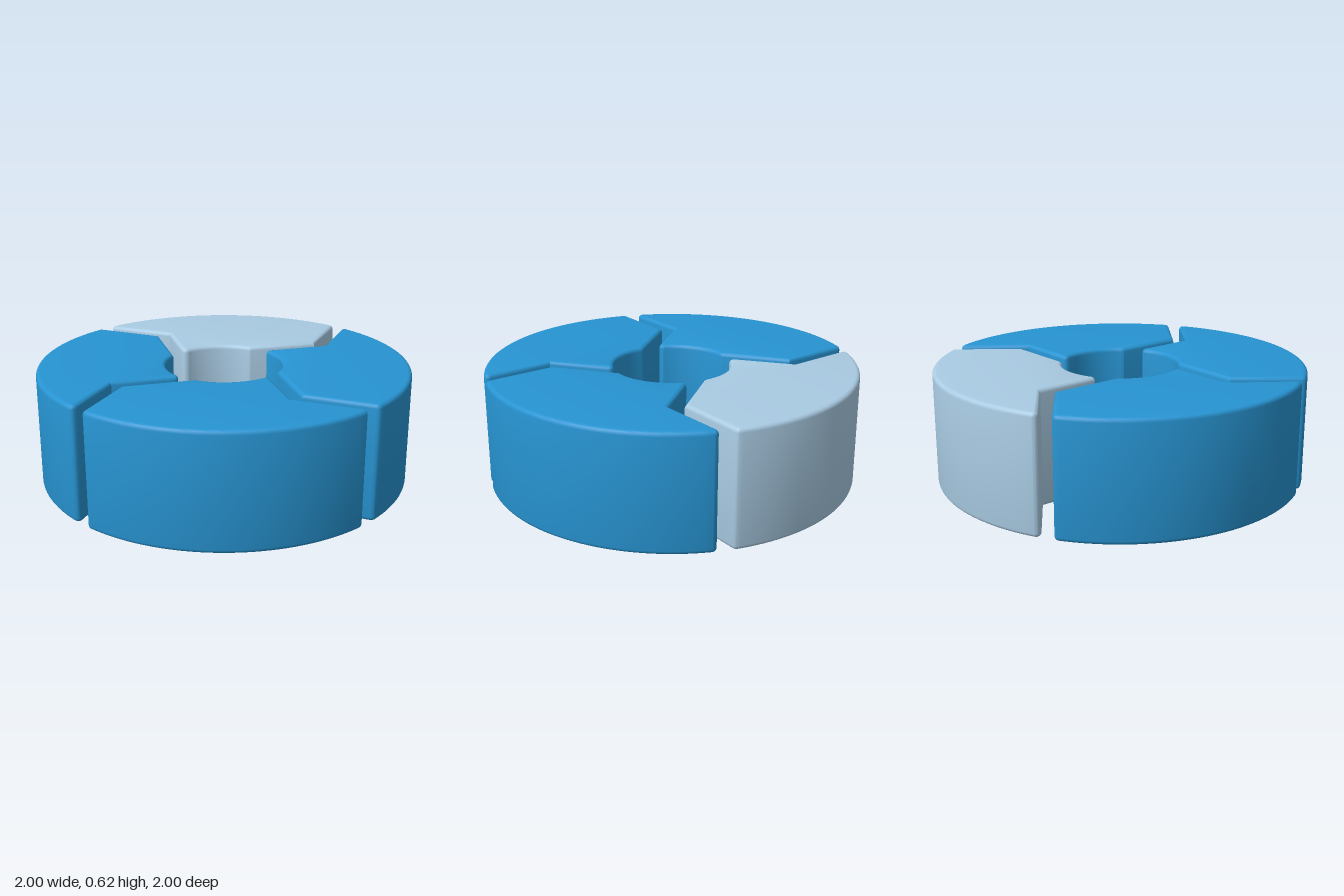
import * as THREE from 'three';
import { toCreasedNormals } from 'three/addons/utils/BufferGeometryUtils.js';

const HEIGHT = 0.62, OUTER = 1, INNER = 0.315, BEVEL = 0.022, FILLET = 0.025;
const V = (x, y) => new THREE.Vector2(x, y);

// Points of a circular fillet at corner p, between neighbours a and b
function fillet(a, p, b, r = FILLET, steps = 6) {
  const u = a.clone().sub(p).normalize(), v = b.clone().sub(p).normalize();
  const half = Math.acos(u.dot(v)) / 2;
  const centre = u.clone().add(v).normalize().multiplyScalar(r / Math.sin(half)).add(p);
  const start = u.multiplyScalar(r / Math.tan(half)).add(p).sub(centre);
  const end = v.multiplyScalar(r / Math.tan(half)).add(p).sub(centre);
  const turn = Math.atan2(start.cross(end), start.dot(end));
  return Array.from({ length: steps + 1 }, (_, i) =>
    start.clone().rotateAround(V(0, 0), turn * i / steps).add(centre));
}

// Points along a circle about the axis
function arc(radius, from, to, steps) {
  return Array.from({ length: steps + 1 }, (_, i) => {
    const t = from + (to - from) * i / steps;
    return V(radius * Math.cos(t), radius * Math.sin(t));
  });
}

// One quarter of the ring: notched at one end, pointed at the other
function segmentGeometry() {
  const outerStart = V(-0.042, 0.999), notch = V(0.14, 0.645), innerStart = V(-0.024, 0.314);
  const innerEnd = V(0.295, 0.11), tip = V(0.642, -0.062), outerEnd = V(0.994, 0.108);
  const innerArc = arc(INNER, innerStart.angle() - 0.15, innerEnd.angle() + 0.06, 16);
  const outerArc = arc(OUTER, outerEnd.angle() + 0.03, outerStart.angle() - 0.05, 40);
  const points = [
    ...fillet(outerArc.at(-1), outerStart, notch),
    notch,
    ...fillet(notch, innerStart, innerArc[0]),
    ...innerArc,
    ...fillet(innerArc.at(-1), innerEnd, tip),
    tip,
    ...fillet(tip, outerEnd, outerArc[0]),
    ...outerArc,
  ];
  const geometry = new THREE.ExtrudeGeometry(new THREE.Shape(points), {
    depth: HEIGHT - 2 * BEVEL, steps: 1,
    bevelThickness: BEVEL, bevelSize: BEVEL, bevelOffset: -BEVEL, bevelSegments: 4,
  });
  geometry.translate(0, 0, BEVEL);
  geometry.rotateX(-Math.PI / 2);
  return toCreasedNormals(geometry, 0.6);
}

export function createModel() {
  const group = new THREE.Group();
  group.name = 'segmentedRing';
  const blue = new THREE.MeshStandardMaterial({ color: 0x2794d2 });
  const pale = new THREE.MeshStandardMaterial({ color: 0xa9cbe3 });
  const geometry = segmentGeometry();
  const names = ['backRightSegment', 'paleSegment', 'frontLeftSegment', 'frontRightSegment'];
  names[0] = 'backLeftSegment';
  names[2] = 'frontRightSegment';
  names[3] = 'frontLeftSegment';

  // Four interlocking segments around the axis
  names.forEach((name, i) => {
    const segment = new THREE.Mesh(geometry, i === 1 ? pale : blue);
    segment.name = name;
    segment.rotation.y = i * Math.PI / 2;
    group.add(segment);
  });
  return group;
}
